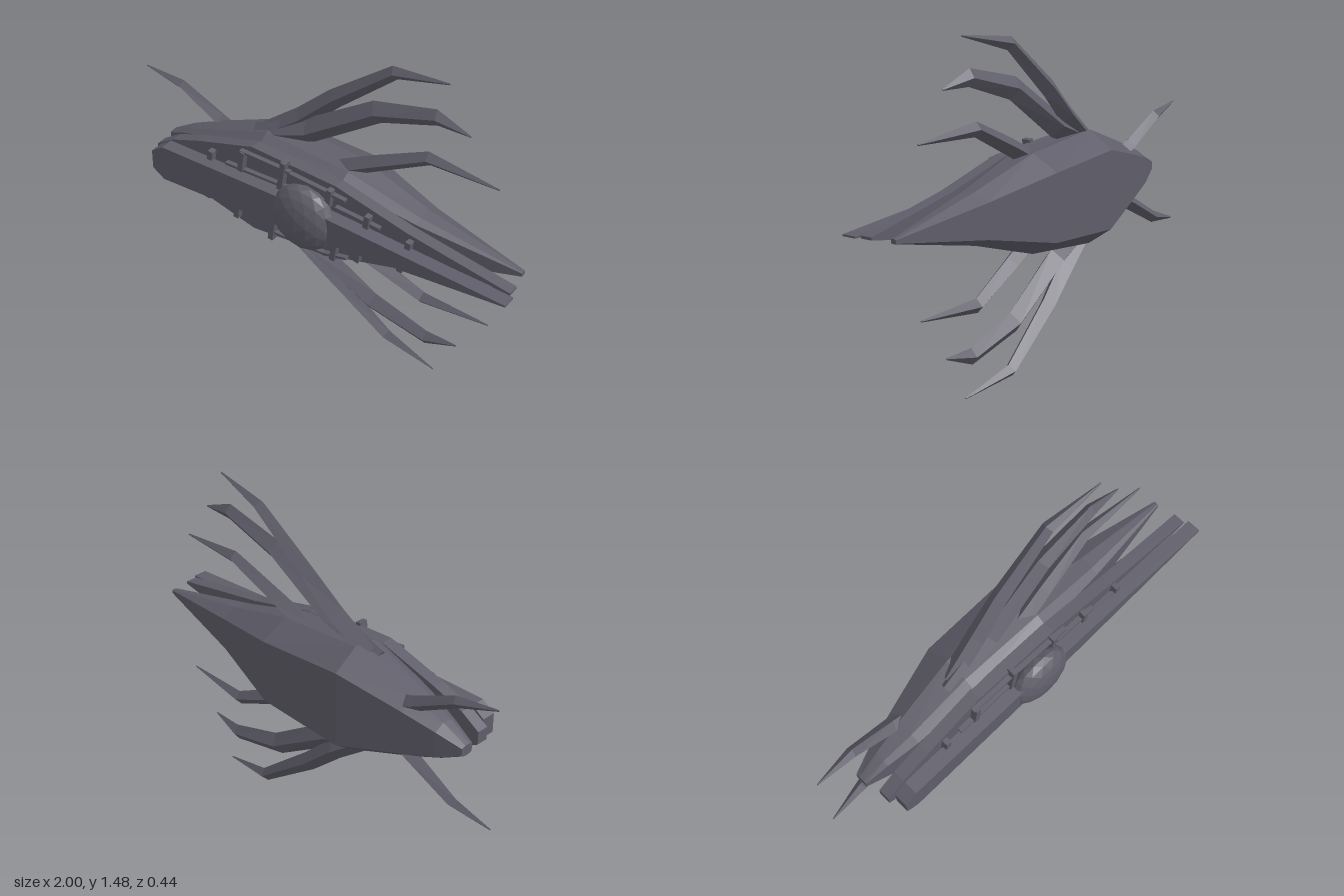
import * as THREE from 'three';

const MID = 0.753; // height of the mirror line

// Closed surface through rings of points; rings run counter-clockwise about the path
function loft(rings) {
  const pos = [];
  const tri = (a, b, c) => pos.push(...a, ...b, ...c);
  const n = rings[0].length;
  const centre = (r) => [0, 1, 2].map((k) => r.reduce((s, p) => s + p[k], 0) / n);
  for (let i = 0; i < rings.length - 1; i++) {
    const a = rings[i], b = rings[i + 1];
    for (let j = 0; j < n; j++) {
      const k = (j + 1) % n;
      tri(a[j], a[k], b[j]);
      tri(a[k], b[k], b[j]);
    }
  }
  const first = rings[0], last = rings[rings.length - 1];
  const c0 = centre(first), c1 = centre(last);
  for (let j = 0; j < n; j++) {
    const k = (j + 1) % n;
    tri(c0, first[k], first[j]);
    tri(c1, last[j], last[k]);
  }
  const g = new THREE.BufferGeometry();
  g.setAttribute('position', new THREE.Float32BufferAttribute(pos, 3));
  g.computeVertexNormals();
  return g;
}

// Bent spike with a diamond section; points are [x, y, z, half width, half depth]
function spike(points) {
  const rings = points.map(([x, y, z, w, d], i) => {
    const p = points[Math.max(i - 1, 0)], q = points[Math.min(i + 1, points.length - 1)];
    const l = Math.hypot(q[0] - p[0], q[1] - p[1]);
    const nx = -(q[1] - p[1]) / l, ny = (q[0] - p[0]) / l;
    return [
      [x + nx * w, y + ny * w, z], [x, y, z + d],
      [x - nx * w, y - ny * w, z], [x, y, z - d],
    ];
  });
  return loft(rings);
}

// Slab mirrored about the mid line; outline is [x, half height], from head to tail
function slab(outline, z0, z1) {
  const pts = [
    ...outline.map(([x, h]) => new THREE.Vector2(x, MID + h)),
    ...outline.slice().reverse().map(([x, h]) => new THREE.Vector2(x, MID - h)),
  ];
  const g = new THREE.ExtrudeGeometry(new THREE.Shape(pts), { depth: z1 - z0, bevelEnabled: false });
  return g.translate(0, 0, z0);
}

export function createModel() {
  const model = new THREE.Group();
  const hullGrey = new THREE.MeshStandardMaterial({ color: 0x5f5d69, flatShading: true });
  hullGrey.name = 'hull grey';
  const add = (name, geometry, parent = model) => {
    const m = new THREE.Mesh(geometry, hullGrey);
    m.name = name;
    parent.add(m);
    return m;
  };

  // Main hull: [x, half height, back z, middle z, front z]
  const sections = [
    [-0.83, 0.025, -0.075, -0.055, -0.015],
    [-0.72, 0.085, -0.11, -0.065, 0.005],
    [-0.57, 0.145, -0.145, -0.08, 0.035],
    [-0.27, 0.255, -0.215, -0.1, 0.065],
    [0.15, 0.215, -0.225, -0.1, 0.065],
    [0.5, 0.11, -0.14, -0.07, 0.025],
    [0.96, 0.01, -0.06, -0.05, -0.035],
  ];
  add('hull', loft(sections.map(([x, h, zb, zm, zf]) => [
    [h, zm], [h * 0.95, zm + (zf - zm) * 0.65], [h * 0.8, zf], [-h * 0.8, zf],
    [-h * 0.95, zm + (zf - zm) * 0.65], [-h, zm], [-h * 0.69, zb], [h * 0.69, zb],
  ].map(([y, z]) => [x, MID + y, z]))));

  // Broad front plate and the narrow keel strip over it
  add('frontPlate', slab(
    [[-0.81, 0.03], [-0.72, 0.085], [-0.57, 0.135], [-0.28, 0.215], [0.15, 0.185], [0.5, 0.095], [0.98, 0.006]],
    0.045, 0.1));
  add('keelStrip', slab(
    [[-0.78, 0.045], [-0.72, 0.085], [-0.05, 0.075], [0.25, 0.057], [1.0, 0.004]],
    0.11, 0.175));
  add('keelCore', slab([[-0.7, 0.05], [0.2, 0.04], [0.9, 0.005]], 0.09, 0.12));

  // Faceted dome
  const dome = new THREE.IcosahedronGeometry(1, 2);
  dome.scale(0.157, 0.157, 0.075).translate(0.02, MID, 0.145);
  add('dome', dome);

  // Slanted ribs: [x, y, length]
  const ribs = new THREE.Group();
  ribs.name = 'ribs';
  model.add(ribs);
  const ribList = [
    [-0.49, 0.845, 0.07], [-0.51, 0.66, 0.07], [-0.32, 0.89, 0.1], [-0.35, 0.63, 0.1],
    [-0.11, 0.885, 0.17], [-0.16, 0.62, 0.16], [0.13, 0.88, 0.09], [0.16, 0.63, 0.12],
    [0.32, 0.84, 0.06], [0.28, 0.66, 0.09], [0.52, 0.8, 0.05], [0.49, 0.69, 0.06],
  ];
  for (const [x, y, l] of ribList) {
    const rib = add('rib', new THREE.BoxGeometry(0.025, l, 0.04), ribs);
    rib.position.set(x, y, 0.11);
    rib.rotation.z = -0.15;
  }

  // Long thin rails: [x, y, length, tilt]
  const rails = new THREE.Group();
  rails.name = 'rails';
  model.add(rails);
  const railList = [
    [-0.23, 0.845, 0.36, 0], [-0.28, 0.67, 0.25, -0.04], [0.33, 0.695, 0.3, 0.03], [0.27, 0.835, 0.22, -0.08],
    [-0.2, 0.932, 0.26, -0.04], [0.07, 0.908, 0.28, -0.09], [-0.02, 0.578, 0.28, 0.0], [0.16, 0.59, 0.12, 0.2],
  ];
  for (const [x, y, l, tilt] of railList) {
    const rail = add('rail', new THREE.BoxGeometry(l, 0.012, 0.025), rails);
    rail.position.set(x, y, 0.11);
    rail.rotation.z = tilt;
  }

  // Spikes, given for the upper half as [x, height over mid line, z, half width, half depth]
  const spikes = {
    outerSpike: [
      [-0.3, 0.21, -0.05, 0.045, 0.045], [-0.13, 0.335, -0.07, 0.045, 0.045],
      [0.02, 0.47, -0.085, 0.042, 0.038], [0.3, 0.685, -0.095, 0.03, 0.028], [0.565, 0.737, -0.067, 0.004, 0.003],
    ],
    middleSpike: [
      [-0.34, 0.2, -0.03, 0.045, 0.04], [-0.08, 0.295, -0.05, 0.055, 0.05],
      [0.24, 0.495, -0.065, 0.05, 0.04], [0.52, 0.57, -0.065, 0.037, 0.027], [0.675, 0.54, -0.06, 0.004, 0.003],
    ],
    innerSpike: [
      [0.03, 0.15, -0.03, 0.04, 0.045], [0.24, 0.25, -0.05, 0.038, 0.04],
      [0.49, 0.362, -0.07, 0.032, 0.03], [0.82, 0.348, -0.055, 0.004, 0.003],
    ],
    headSpike: [
      [-0.5, 0.09, -0.09, 0.04, 0.04], [-0.6, 0.133, -0.095, 0.033, 0.035],
      [-0.81, 0.24, -0.095, 0.027, 0.025], [-1.0, 0.282, -0.08, 0.004, 0.003],
    ],
  };
  for (const [name, path] of Object.entries(spikes)) {
    for (const side of [1, -1]) {
      add(name, spike(path.map(([x, y, z, w, d]) => [x, MID + side * y, z, w, d])));
    }
  }

  // Rest the lowest tips on the ground
  const box = new THREE.Box3().setFromObject(model);
  for (const part of model.children) part.position.y -= box.min.y;
  return model;
}
